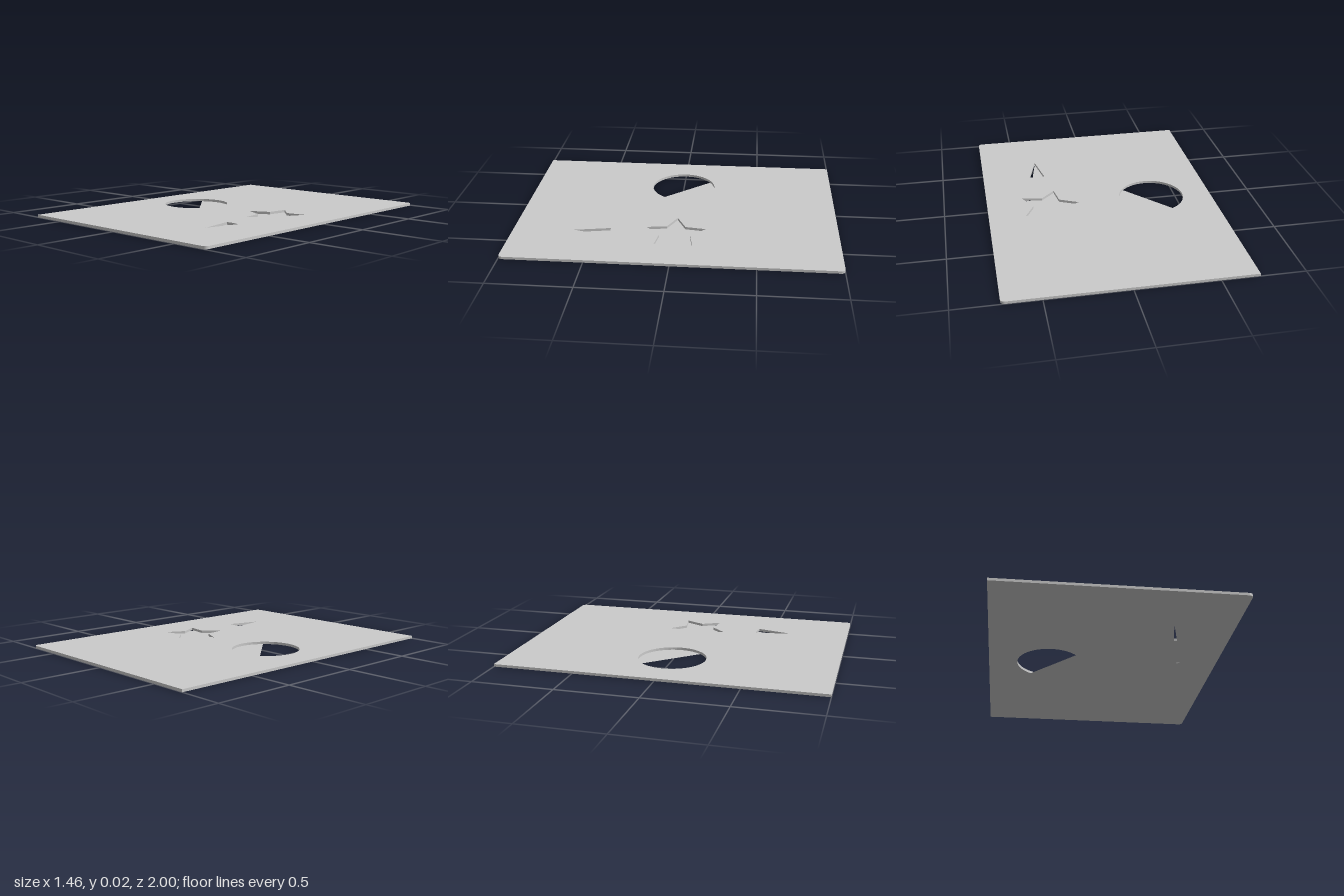
import * as THREE from 'three';

const THICK = 0.016;

// Outlines are given as [x, z] on the plate.
const poly = (pts) => new THREE.Shape(pts.map(([x, z]) => new THREE.Vector2(x, -z)));

const STAR = [
  [0.14, 0], [0.262, -0.058], [0.28, -0.186], [0.37, -0.095], [0.497, -0.116],
  [0.437, 0], [0.497, 0.114], [0.37, 0.094], [0.281, 0.184], [0.262, 0.058],
];
const WEDGE = [[0.315, 0.4], [0.365, 0.398], [0.415, 0.408], [0.357, 0.622]];
const DISC = { x: -0.339, y: 0, r: 0.209 };

export function createModel() {
  const group = new THREE.Group();
  const material = new THREE.MeshStandardMaterial({ color: 0xcccccc });
  const sheetMaterial = new THREE.MeshStandardMaterial({ color: 0xcccccc, side: THREE.DoubleSide });

  const add = (name, geometry, mat) => {
    geometry.rotateX(-Math.PI / 2);
    const mesh = new THREE.Mesh(geometry, mat);
    mesh.name = name;
    group.add(mesh);
  };

  // Plate, rounded at the two corners on its +x edge
  const w = 0.728, r = 0.025;
  const plate = new THREE.Shape();
  plate.moveTo(-w, -1);
  plate.lineTo(w - r, -1);
  plate.absarc(w - r, -1 + r, r, -Math.PI / 2, 0, false);
  plate.absarc(w - r, 1 - r, r, 0, Math.PI / 2, false);
  plate.lineTo(-w, 1);
  plate.closePath();

  // Round, star and wedge cutouts
  const round = new THREE.Path();
  round.absarc(DISC.x, DISC.y, DISC.r, 0, Math.PI * 2, true);
  plate.holes.push(round, poly(STAR), poly(WEDGE));
  add('plate', new THREE.ExtrudeGeometry(plate, { depth: THICK, bevelEnabled: false, curveSegments: 24 }), material);

  // Thin floors that partly close the cutouts at the underside
  const segment = new THREE.Shape();
  segment.absarc(DISC.x, DISC.y, DISC.r, -0.71, 2.165, false);
  segment.closePath();
  add('roundFloor', new THREE.ShapeGeometry(segment, 32), sheetMaterial);

  const starFloor = [...STAR];
  starFloor.splice(6, 1, [0.479, 0.078], [0.468, 0.109]);
  add('starFloor', new THREE.ShapeGeometry(poly(starFloor)), sheetMaterial);

  const wedgeFloor = [WEDGE[0], WEDGE[1], [0.397, 0.404], WEDGE[3]];
  add('wedgeFloor', new THREE.ShapeGeometry(poly(wedgeFloor)), sheetMaterial);

  return group;
}
